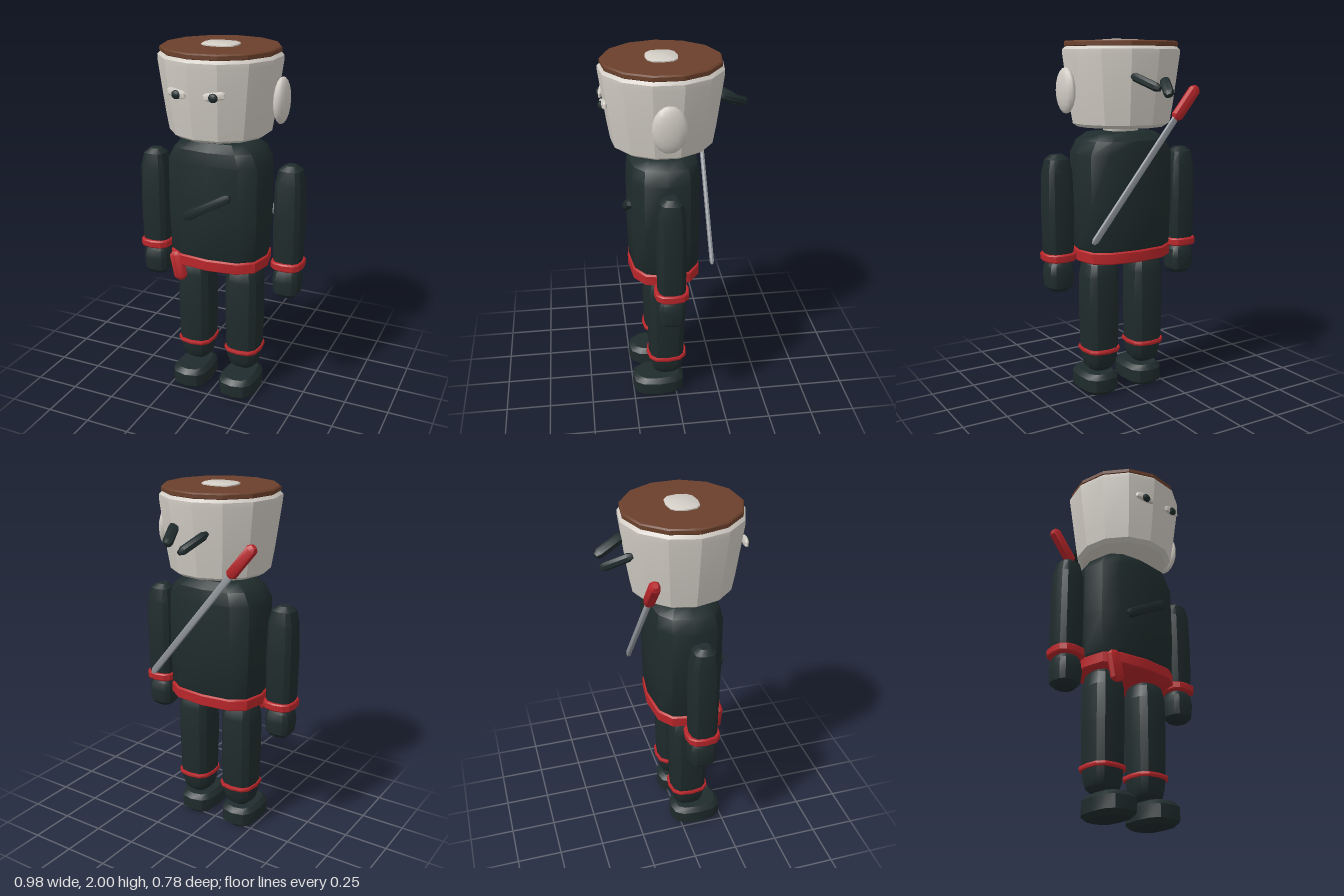
import * as THREE from 'three';
import { toCreasedNormals } from 'three/addons/utils/BufferGeometryUtils.js';

const mat = (name, color) => {
  const m = new THREE.MeshStandardMaterial({ color });
  m.name = name;
  return m;
};

// Closed loft along y. rings: [y, half width x, half depth z]; power 2 = ellipse, higher = squarer
function loft(rings, { sides = 12, power = 2.8, phase = 0, crease = 0.6 } = {}) {
  const pos = [], idx = [];
  const sp = (v) => Math.sign(v) * Math.pow(Math.abs(v) < 1e-9 ? 0 : Math.abs(v), 2 / power);
  rings.forEach(([y, a, b]) => {
    for (let i = 0; i < sides; i++) {
      const t = phase + (i / sides) * Math.PI * 2;
      pos.push(a * sp(Math.cos(t)), y, b * sp(Math.sin(t)));
    }
  });
  const last = (rings.length - 1) * sides, bottom = rings.length * sides, top = bottom + 1;
  pos.push(0, rings[0][0], 0, 0, rings[rings.length - 1][0], 0);
  for (let i = 0; i < sides; i++) {
    const n = (i + 1) % sides;
    for (let r = 0; r < last; r += sides) {
      idx.push(r + i, r + sides + i, r + n, r + n, r + sides + i, r + sides + n);
    }
    idx.push(bottom, i, n, top, last + n, last + i);
  }
  const g = new THREE.BufferGeometry();
  g.setAttribute('position', new THREE.Float32BufferAttribute(pos, 3));
  g.setIndex(idx);
  return toCreasedNormals(g, crease);
}

export function createModel() {
  const dark = mat('dark cloth', 0x1f2b2c);
  const red = mat('red cloth', 0xb9262a);
  const china = mat('pale ceramic', 0xd2cdc5);
  const brown = mat('brown lid', 0x6b402b);
  const steel = mat('steel', 0x90959b);
  const model = new THREE.Group();
  const Z = 0.053;

  const add = (name, geo, material, x = 0, y = 0, z = Z) => {
    const m = new THREE.Mesh(geo, material);
    m.name = name;
    m.position.set(x, y, z);
    model.add(m);
    return m;
  };
  // Chamfered bar between two points
  const bar = (name, material, from, to, w, d, c = 0.02) => {
    const p = new THREE.Vector3(...from), dir = new THREE.Vector3(...to).sub(p), len = dir.length();
    const geo = loft([[0, w * 0.5, d * 0.5], [c, w, d], [len - c, w, d], [len, w * 0.5, d * 0.5]], { sides: 8 });
    const m = add(name, geo, material, ...from);
    m.quaternion.setFromUnitVectors(new THREE.Vector3(0, 1, 0), dir.normalize());
    return m;
  };

  // Torso and belt
  add('torso', loft([
    [0.84, 0.26, 0.18], [0.87, 0.277, 0.195], [1.1, 0.285, 0.2], [1.39, 0.284, 0.198],
    [1.46, 0.245, 0.185], [1.5, 0.19, 0.14], [1.508, 0.08, 0.06],
  ]), dark);
  add('belt', loft([[0.79, 0.27, 0.19], [0.797, 0.28, 0.2], [0.85, 0.28, 0.2], [0.858, 0.27, 0.19]]), red);
  bar('beltTail', red, [-0.21, 0.86, 0.21], [-0.175, 0.695, 0.21], 0.04, 0.024);
  bar('chestStrap', dark, [-0.135, 1.085, 0.245], [0.135, 1.24, 0.245], 0.027, 0.025);

  // Arms, legs and their bands
  for (const s of [-1, 1]) {
    add('arm', loft([
      [0.82, 0.072, 0.07], [0.88, 0.08, 0.077], [1.1, 0.083, 0.08], [1.3, 0.078, 0.075],
      [1.37, 0.062, 0.06], [1.395, 0.032, 0.03],
    ]), dark, s * 0.4);
    add('cuff', loft([[0.816, 0.085, 0.088], [0.823, 0.09, 0.094], [0.853, 0.09, 0.094], [0.86, 0.085, 0.088]]), red, s * 0.4);
    add('hand', loft([
      [0.645, 0.05, 0.05], [0.67, 0.073, 0.073], [0.74, 0.08, 0.08], [0.79, 0.073, 0.073], [0.82, 0.055, 0.055],
    ]), dark, s * 0.4);
    add('leg', loft([
      [0.14, 0.055, 0.055], [0.165, 0.082, 0.082], [0.21, 0.093, 0.094], [0.28, 0.099, 0.103],
      [0.5, 0.104, 0.108], [0.7, 0.102, 0.107], [0.77, 0.088, 0.092], [0.81, 0.06, 0.06],
    ]), dark, s * 0.147);
    add('ankleBand', loft([[0.255, 0.106, 0.113], [0.262, 0.109, 0.116], [0.271, 0.109, 0.116], [0.278, 0.106, 0.113]]), red, s * 0.147);
    add('foot', loft([
      [0, 0.085, 0.125], [0.024, 0.11, 0.151], [0.095, 0.11, 0.151], [0.122, 0.085, 0.125],
    ]), dark, s * 0.147, 0, 0.102);
  }

  // Cup-shaped head with lid
  const round = { sides: 13, power: 2, phase: Math.PI, crease: 0.4 };
  const disc = (y, r) => [y, r, r];
  add('head', loft([
    disc(1.525, 0.1), disc(1.532, 0.245), disc(1.55, 0.273), disc(1.65, 0.29),
    disc(1.92, 0.327), disc(1.945, 0.327), disc(1.962, 0.31),
  ], round), china);
  add('lid', loft([disc(1.955, 0.305), disc(1.964, 0.316), disc(1.983, 0.316), disc(1.99, 0.308)], round), brown);
  add('lidKnob', loft([[1.98, 0.098, 0.085], [1.996, 0.098, 0.085], [2, 0.092, 0.079]]), china);
  add('neck', loft([[1.5, 0.09, 0.08], [1.54, 0.1, 0.09]]), china);

  // Cup handle on the left side
  const handle = new THREE.SphereGeometry(1, 14, 10);
  handle.scale(0.037, 0.122, 0.09);
  add('handle', handle, china, 0.34, 1.73);

  // Eyes
  for (const s of [-1, 1]) {
    const white = loft([[-0.016, 0.04, 0.009], [-0.01, 0.058, 0.013], [0.012, 0.058, 0.013], [0.022, 0.045, 0.009]], { sides: 10 });
    const eye = add('eyeWhite', white, china, s * 0.102, 1.788, 0.36);
    eye.rotation.set(0, s * 0.18, s * 0.14);
    const ball = new THREE.SphereGeometry(1, 10, 8);
    ball.scale(0.026, 0.023, 0.016);
    add('pupil', ball, dark, s * 0.1, 1.785, 0.371);
  }

  // Knotted band tails at the back
  bar('bandTail', dark, [0.1, 1.81, -0.225], [0.033, 1.745, -0.388], 0.028, 0.023, 0.025);
  bar('bandTail', dark, [-0.1, 1.79, -0.225], [-0.033, 1.71, -0.378], 0.028, 0.023, 0.025);

  // Sword across the back
  bar('swordBlade', steel, [-0.22, 1.59, -0.178], [0.308, 0.935, -0.178], 0.02, 0.012);
  bar('swordHilt', red, [-0.347, 1.745, -0.18], [-0.205, 1.572, -0.18], 0.032, 0.028);

  return model;
}
